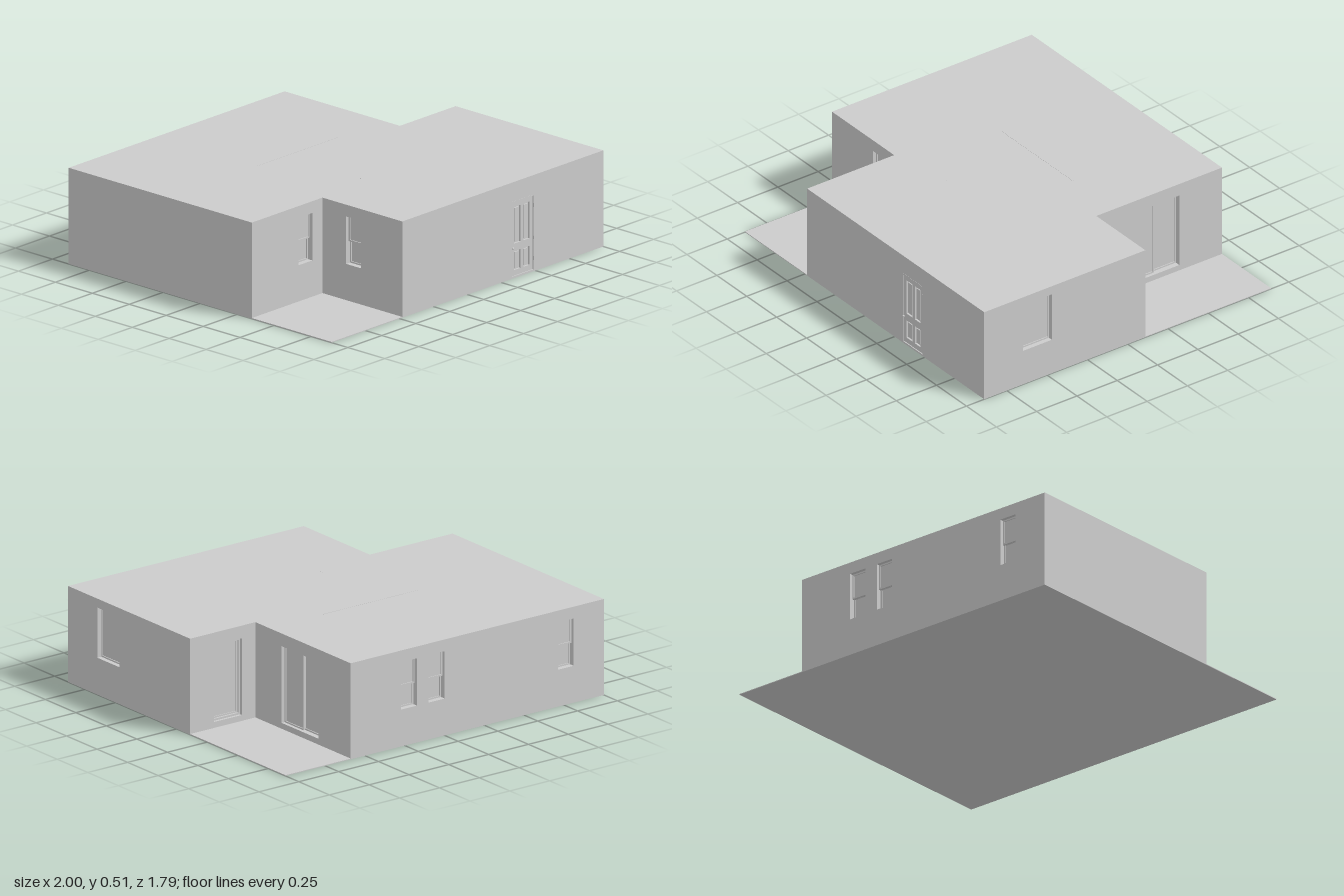
import * as THREE from 'three';

const material = new THREE.MeshStandardMaterial({ color: 0xcccccc, flatShading: true });
const HEIGHT = 0.507, ROOF = 0.02, FLOOR = 0.004, THICK = 0.045;

function add(parent, name, geometry) {
  const mesh = new THREE.Mesh(geometry, material);
  mesh.name = name;
  parent.add(mesh);
  return mesh;
}

// Box given by its lower and upper limits
function box(parent, name, x0, x1, y0, y1, z0, z1) {
  const mesh = add(parent, name, new THREE.BoxGeometry(x1 - x0, y1 - y0, z1 - z0));
  mesh.position.set((x0 + x1) / 2, (y0 + y1) / 2, (z0 + z1) / 2);
  return mesh;
}

function rectPath(x0, x1, y0, y1, Type = THREE.Path) {
  return new Type([[x0, y0], [x1, y0], [x1, y1], [x0, y1]].map(p => new THREE.Vector2(...p)));
}

// Flat rectangle with rectangular holes, extruded from z0 to z1
function panel(parent, name, [x0, x1, y0, y1], holes, z0, z1) {
  const shape = rectPath(x0, x1, y0, y1, THREE.Shape);
  shape.holes = holes.map(h => rectPath(...h));
  const geometry = new THREE.ExtrudeGeometry(shape, { depth: z1 - z0, bevelEnabled: false });
  geometry.translate(0, 0, z0);
  return add(parent, name, geometry);
}

function frame(parent, name, [x0, x1, y0, y1], w, z0, z1) {
  panel(parent, name, [x0, x1, y0, y1], [[x0 + w, x1 - w, y0 + w, y1 - w]], z0, z1);
}

// Framed pane: outer frame with glass behind it
function sash(parent, name, rect, z) {
  frame(parent, name + 'Frame', rect, 0.008, z - 0.01, z);
  box(parent, name + 'Glass', ...rect, z - 0.008, z - 0.005);
}

// What fills each kind of opening; the wall face lies at z = 0
const fillings = {
  fixedWindow(g, r) {
    sash(g, 'pane', r, -0.025);
  },
  hungWindow(g, [x0, x1, y0, y1]) {
    const mid = y0 + (y1 - y0) * 0.48;
    sash(g, 'upperSash', [x0, x1, mid - 0.004, y1], -0.018);
    sash(g, 'lowerSash', [x0, x1, y0, mid + 0.004], -0.029);
  },
  slidingDoor(g, [x0, x1, y0, y1]) {
    const mid = (x0 + x1) / 2;
    sash(g, 'slidingLeaf', [x0, mid + 0.005, y0, y1], -0.018);
    sash(g, 'fixedLeaf', [mid - 0.005, x1, y0, y1], -0.029);
  },
  glassDoor(g, r) {
    frame(g, 'doorCasing', r, 0.01, -0.035, -0.015);
    sash(g, 'doorLeaf', r.map((v, i) => v + (i % 2 ? -0.01 : 0.01)), -0.025);
  },
  panelDoor(g, [x0, x1, y0, y1]) {
    const holes = [];
    for (const [a, b] of [[0.027, 0.075], [0.095, 0.14]])
      for (const [c, d] of [[0.04, 0.14], [0.18, 0.373]]) holes.push([x0 + a, x0 + b, c, d]);
    frame(g, 'doorCasing', [x0, x1, y0, y1], 0.006, -0.03, 0.001);
    panel(g, 'doorLeaf', [x0, x1, y0, y1], holes, -0.02, -0.004);
    box(g, 'doorBacking', x0, x1, y0, y1, -0.024, -0.014);
    for (const [a, b, c, d] of holes)
      box(g, 'raisedPanel', a + 0.008, b - 0.008, c + 0.008, d - 0.008, -0.014, -0.007);
    add(g, 'doorKnob', new THREE.SphereGeometry(0.006, 10, 8)).position.set(x0 + 0.01, 0.16, 0.004);
    for (const y of [0.06, 0.17, 0.34]) box(g, 'hinge', x1 - 0.004, x1, y, y + 0.02, -0.01, 0.002);
  },
};

// Footprint corners [x, z]; each wall runs to the next corner, outside on its right.
// Openings: [kind, start, end, bottom, top] measured along the wall.
const walls = [
  { name: 'frontWall', from: [-0.48, 0.89], openings: [['panelDoor', 0.8, 0.97, 0.005, 0.405]] },
  { name: 'rightWall', from: [1, 0.89], openings: [['fixedWindow', 0.24, 0.42, 0.195, 0.46]] },
  { name: 'rearPorchWall', from: [1, -0.11], openings: [['glassDoor', 0.15, 0.325, 0.035, 0.44]] },
  { name: 'rearPorchSideWall', from: [0.59, -0.11], openings: [['slidingDoor', 0.215, 0.515, 0.035, 0.44]] },
  { name: 'backWall', from: [0.59, -0.89], openings: [0.315, 0.49, 1.3].map(u => ['hungWindow', u, u + 0.1, 0.195, 0.445]) },
  { name: 'leftWall', from: [-1, -0.89], openings: [] },
  { name: 'frontPorchWall', from: [-1, 0.35], openings: [['hungWindow', 0.345, 0.445, 0.195, 0.445]] },
  { name: 'frontPorchSideWall', from: [-0.48, 0.35], openings: [['hungWindow', 0.16, 0.26, 0.195, 0.445]] },
];

export function createModel() {
  const house = new THREE.Group();
  house.name = 'house';

  // Floor covers the full plot, including both corner porches
  box(house, 'floor', -1, 1, 0, FLOOR, -0.89, 0.89);

  // Walls with their windows and doors
  walls.forEach(({ name, from, openings }, i) => {
    const to = walls[(i + 1) % walls.length].from;
    const dx = to[0] - from[0], dz = to[1] - from[1];
    const group = new THREE.Group();
    group.name = name;
    group.position.set(from[0], 0, from[1]);
    group.rotation.y = Math.atan2(-dz, dx);
    house.add(group);
    panel(group, name + 'Shell', [0, Math.hypot(dx, dz), 0, HEIGHT - ROOF], openings.map(o => o.slice(1)), -THICK, 0);
    for (const [kind, ...rect] of openings) {
      const unit = new THREE.Group();
      unit.name = kind;
      group.add(unit);
      fillings[kind](unit, rect);
    }
  });

  // Flat roof following the footprint
  const outline = new THREE.Shape(walls.map(w => new THREE.Vector2(w.from[0], -w.from[1])));
  const roof = add(house, 'roof', new THREE.ExtrudeGeometry(outline, { depth: ROOF, bevelEnabled: false }));
  roof.rotation.x = -Math.PI / 2;
  roof.position.y = HEIGHT - ROOF;

  // Inner partition and small post whose tops just show through the roof
  box(house, 'partition', -0.35, 0.25, FLOOR, HEIGHT + 0.001, -0.222, -0.216);
  box(house, 'post', -0.135, -0.129, FLOOR, HEIGHT + 0.001, 0.282, 0.298);

  return house;
}
